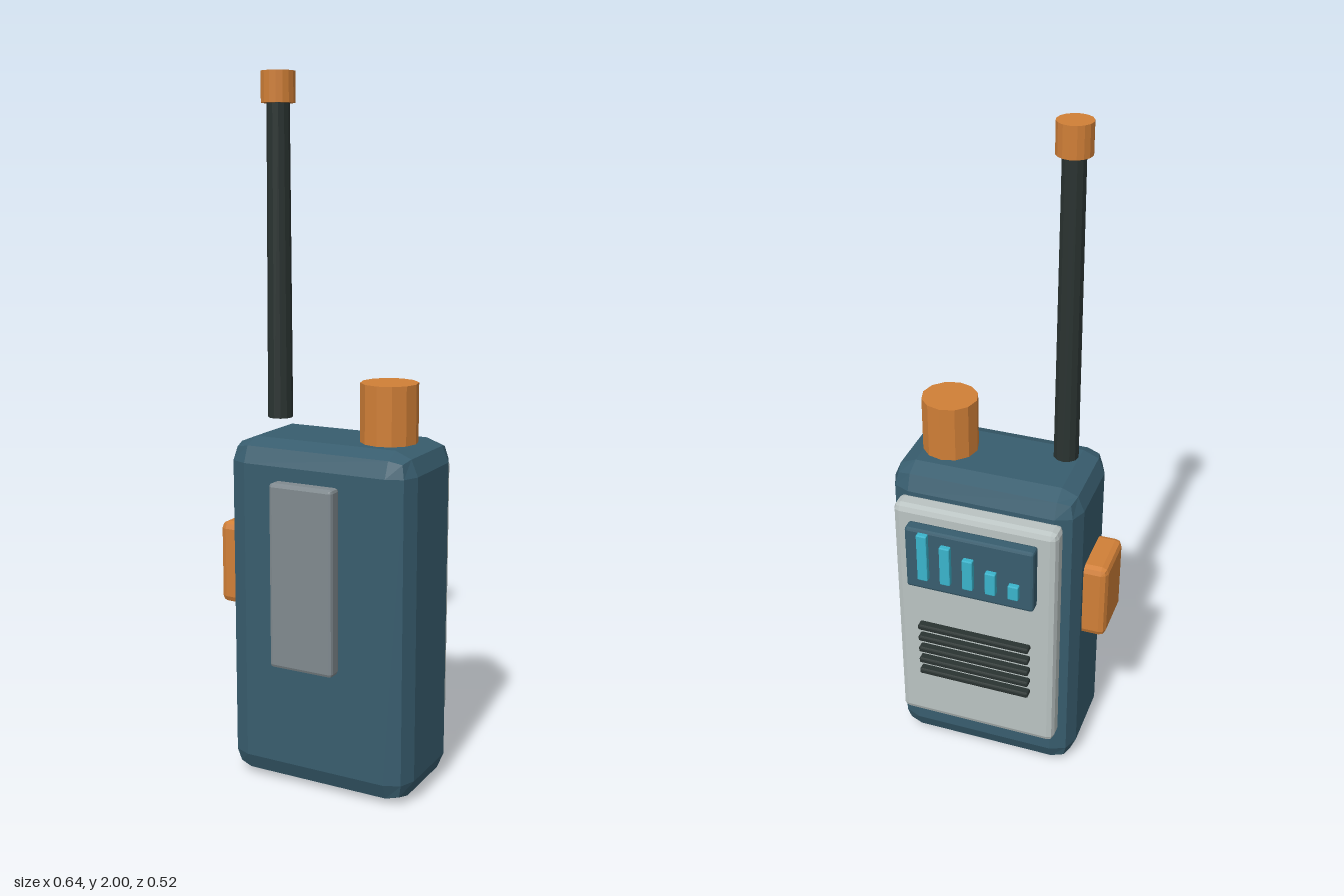
import * as THREE from 'three';
import { RoundedBoxGeometry } from 'three/addons/geometries/RoundedBoxGeometry.js';

function paint(name, color) {
  const m = new THREE.MeshStandardMaterial({ color, flatShading: true });
  m.name = name;
  return m;
}

export function createModel() {
  const model = new THREE.Group();
  model.name = 'handheldRadio';

  const teal = paint('teal blue', 0x385d6e);
  const orange = paint('orange', 0xd07f37);
  const black = paint('charcoal', 0x2a3331);
  const steel = paint('steel grey', 0x808a8f);
  const silver = paint('silver grey', 0xbac3c2);
  const cyan = paint('cyan', 0x3ab4cc);

  function add(parent, name, geometry, material, x, y, z) {
    const mesh = new THREE.Mesh(geometry, material);
    mesh.name = name;
    mesh.position.set(x, y, z);
    parent.add(mesh);
  }

  // Bevelled box given by its extents on each axis
  function block(parent, name, material, [x0, x1], [y0, y1], [z0, z1], r) {
    const g = new RoundedBoxGeometry(x1 - x0, y1 - y0, z1 - z0, 1, r);
    add(parent, name, g, material, (x0 + x1) / 2, (y0 + y1) / 2, (z0 + z1) / 2);
  }

  // Upright cylinder between two heights
  function post(name, material, x, z, y0, y1, rTop, rBottom, sides) {
    const g = new THREE.CylinderGeometry(rTop, rBottom, y1 - y0, sides);
    add(model, name, g, material, x, (y0 + y1) / 2, z);
  }

  // Case, push-to-talk button and belt clip
  block(model, 'body', teal, [-0.25, 0.317], [0, 1], [-0.15, 0.187], 0.066);
  block(model, 'talkButton', orange, [-0.32, -0.22], [0.485, 0.73], [-0.07, 0.107], 0.02);
  block(model, 'beltClip', steel, [-0.064, 0.13], [0.38, 0.905], [0.213, 0.26], 0.01);

  // Faceplate and display
  block(model, 'faceplate', silver, [-0.21, 0.277], [0.15, 0.922], [-0.206, -0.135], 0.02);
  block(model, 'display', teal, [-0.157, 0.225], [0.675, 0.88], [-0.247, -0.206], 0.008);

  // Signal bars, growing towards the model's left
  const signal = new THREE.Group();
  signal.name = 'signalBars';
  model.add(signal);
  for (let i = 0; i < 5; i++) {
    const x = -0.102 + i * 0.0675;
    const h = 0.047 + i * 0.027;
    block(signal, 'signalBar', cyan, [x - 0.0155, x + 0.0155], [0.718, 0.718 + h], [-0.263, -0.24], 0.003);
  }

  // Speaker grille
  const grille = new THREE.Group();
  grille.name = 'speakerGrille';
  model.add(grille);
  for (let i = 0; i < 5; i++) {
    const y = 0.34 + i * 0.0425;
    block(grille, 'grilleSlat', black, [-0.137, 0.205], [y - 0.009, y + 0.009], [-0.23, -0.2], 0.005);
  }

  // Antenna and volume knob
  post('antenna', black, -0.163, 0.019, 1.04, 1.92, 0.032, 0.036, 12);
  post('antennaCap', orange, -0.163, 0.019, 1.915, 2, 0.048, 0.048, 16);
  post('volumeKnob', orange, 0.183, 0.019, 1, 1.165, 0.081, 0.081, 12);

  return model;
}
